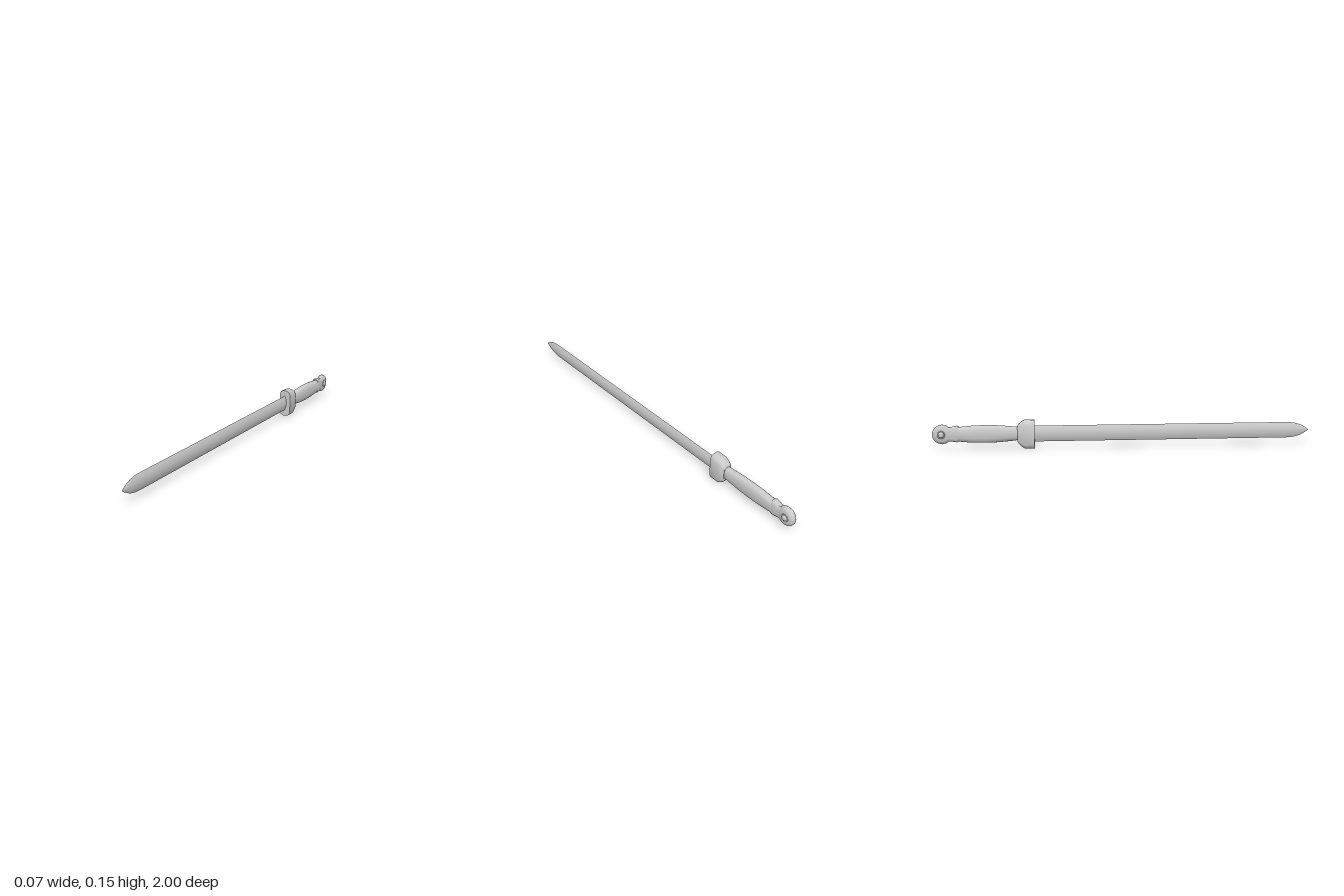
import * as THREE from 'three';
import { toCreasedNormals } from 'three/addons/utils/BufferGeometryUtils.js';

const material = new THREE.MeshStandardMaterial({ color: 0xcccccc });
const MID = 0.079; // height of the sword's axis

// Joins scaled copies of a ring; sections run from +z to -z as [z, halfWidth, halfHeight, centreY].
function loft(ring, sections) {
  const pos = [], idx = [], n = ring.length;
  for (const [z, w, h, y = MID] of sections)
    for (const [px, py] of ring) pos.push(px * w, y + py * h, z);
  for (let i = 0; i < sections.length - 1; i++)
    for (let j = 0; j < n; j++) {
      const k = (j + 1) % n, a = i * n + j, b = i * n + k;
      idx.push(a, a + n, b, b, a + n, b + n);
    }
  // End caps
  const last = (sections.length - 1) * n;
  for (let j = 1; j < n - 1; j++) idx.push(0, j, j + 1, last, last + j + 1, last + j);
  const g = new THREE.BufferGeometry();
  g.setAttribute('position', new THREE.Float32BufferAttribute(pos, 3));
  g.setIndex(idx);
  return g;
}

// Rounded ring: power below 1 makes it boxier
function ovalRing(n, power) {
  const bend = (v) => Math.sign(v) * Math.abs(v) ** power;
  return Array.from({ length: n }, (_, i) => {
    const a = (i / n) * Math.PI * 2;
    return [bend(Math.cos(a)), bend(Math.sin(a))];
  });
}

export function createModel() {
  const sword = new THREE.Group();
  sword.name = 'sword';
  const add = (name, geometry, crease = 0.7) => {
    const mesh = new THREE.Mesh(toCreasedNormals(geometry, crease), material);
    mesh.name = name;
    sword.add(mesh);
    return mesh;
  };

  // Lens-shaped blade with a rounded point
  const lens = [[1, 0], [0.8, 0.4], [0.45, 0.75], [0, 1], [-0.45, 0.75], [-0.8, 0.4],
    [-1, 0], [-0.8, -0.4], [-0.45, -0.75], [0, -1], [0.45, -0.75], [0.8, -0.4]];
  add('blade', loft(lens, [
    [1, 0.0005, 0.001, 0.077], [0.985, 0.003, 0.012, 0.077], [0.965, 0.006, 0.024, 0.077],
    [0.94, 0.008, 0.034, 0.077], [0.91, 0.01, 0.04, 0.077], [0.88, 0.011, 0.042, 0.077],
    [-0.49, 0.011, 0.042, 0.077],
  ]));

  // Guard: upright block with cut corners, narrowing toward the grip
  const guardRing = [[1, 0.7], [0.75, 0.91], [0.35, 1], [-0.35, 1], [-0.75, 0.91], [-1, 0.7],
    [-1, -0.7], [-0.75, -0.91], [-0.35, -1], [0.35, -1], [0.75, -0.91], [1, -0.7]];
  add('guard', loft(guardRing, [
    [-0.47, 0.033, 0.075, 0.075], [-0.522, 0.033, 0.075, 0.075], [-0.538, 0.031, 0.066, 0.076],
    [-0.553, 0.028, 0.051, 0.077], [-0.559, 0.024, 0.042, 0.078],
  ]), 0.8);

  // Grip swelling gently in the middle
  add('grip', loft(ovalRing(16, 0.8), [
    [-0.545, 0.022, 0.034], [-0.6, 0.023, 0.04], [-0.66, 0.024, 0.045], [-0.72, 0.024, 0.047],
    [-0.78, 0.024, 0.046], [-0.83, 0.023, 0.042], [-0.875, 0.022, 0.037],
  ]));

  // Collar and neck leading to the pommel
  add('collar', loft(ovalRing(16, 0.6), [
    [-0.864, 0.02, 0.041, 0.082], [-0.872, 0.022, 0.044, 0.081], [-0.888, 0.021, 0.041, 0.081],
    [-0.904, 0.018, 0.038, 0.08], [-0.93, 0.016, 0.04, 0.08],
  ]));

  // Round pommel with bevelled rims, lying across x
  const profile = [[0, -0.018], [0.034, -0.018], [0.046, -0.013], [0.051, -0.006],
    [0.051, 0.006], [0.046, 0.013], [0.034, 0.018], [0, 0.018]];
  const disc = new THREE.LatheGeometry(profile.map(([r, y]) => new THREE.Vector2(r, y)), 16);
  disc.rotateZ(Math.PI / 2);
  add('pommel', disc).position.set(0, 0.08, -0.949);

  // Rivet domes on both sides, each in a slim rim
  for (const side of [1, -1]) {
    const dome = new THREE.SphereGeometry(0.016, 14, 8);
    dome.scale(0.72, 1, 1);
    add('rivet', dome).position.set(side * 0.0185, 0.08, -0.952);
    const rim = new THREE.TorusGeometry(0.018, 0.003, 6, 16);
    rim.rotateY(Math.PI / 2);
    add('rivetRim', rim, 1.2).position.set(side * 0.018, 0.08, -0.952);
  }
  return sword;
}
